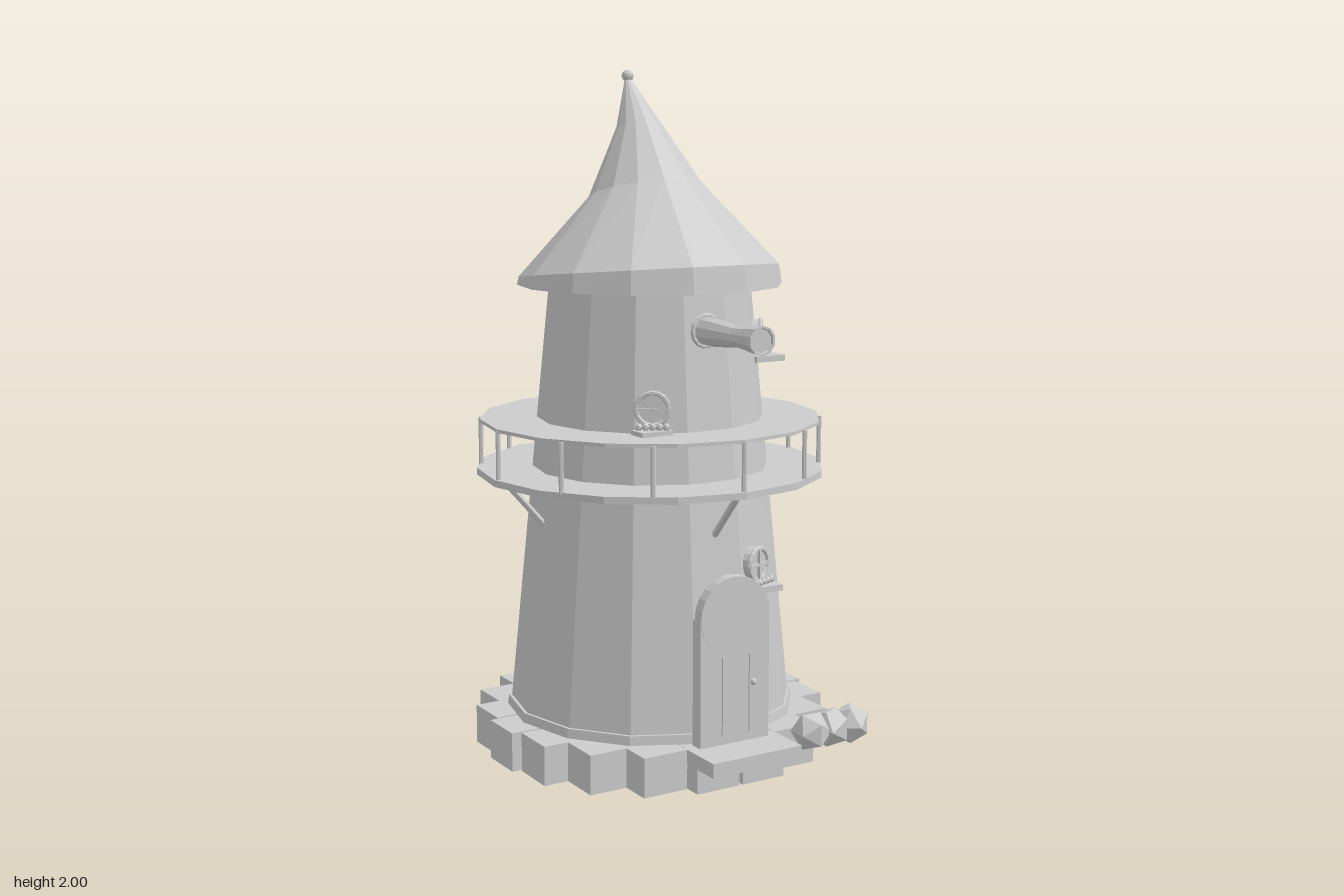
import * as THREE from 'three';

const AXIS_Z = -0.035; // tower axis, offset so the whole model is centred

export function createModel() {
  const root = new THREE.Group();
  root.name = 'tower';
  const mat = new THREE.MeshStandardMaterial({ color: 0xcccccc, flatShading: true });

  const add = (name, geo, x = 0, y = 0, z = 0, parent = root) => {
    const m = new THREE.Mesh(geo, mat);
    m.name = name;
    m.position.set(x, y, z);
    parent.add(m);
    return m;
  };
  const box = (name, w, h, d, x, y, z, parent) =>
    add(name, new THREE.BoxGeometry(w, h, d), x, y, z, parent);
  // vertical cylinder on the tower axis, with a corner on the x axis
  const drum = (name, rTop, rBottom, y0, y1, sides) =>
    add(name, new THREE.CylinderGeometry(rTop, rBottom, y1 - y0, sides).rotateY(Math.PI / 2), 0, (y0 + y1) / 2, AXIS_Z);
  // round bar between two points
  const bar = (name, a, b, r) => {
    const d = b.clone().sub(a);
    const m = add(name, new THREE.CylinderGeometry(r, r, d.length(), 6));
    m.position.copy(a).add(b).multiplyScalar(0.5);
    m.quaternion.setFromUnitVectors(new THREE.Vector3(0, 1, 0), d.normalize());
  };
  // point around the axis; angle 0 is the front
  const around = (a, r, y) => new THREE.Vector3(Math.sin(a) * r, y, AXIS_Z + Math.cos(a) * r);

  // Foundation: square stones set in a ring
  for (let i = 0; i < 18; i++) {
    const p = around(Math.PI / 2 + (i / 18) * Math.PI * 2, 0.435, 0.0575);
    box('foundationStone', 0.14, 0.115, 0.14, p.x, p.y, p.z);
  }

  // Tower body and skirting
  drum('towerWall', 0.297, 0.422, 0.112, 1.385, 14);
  drum('skirting', 0.428, 0.432, 0.112, 0.142, 14);

  // Balcony
  drum('balconyFloor', 0.515, 0.515, 0.825, 0.845, 16);
  drum('balconyRail', 0.505, 0.505, 0.98, 0.99, 16);
  for (let i = 0; i < 12; i++) {
    const a = (i / 12) * Math.PI * 2;
    bar('balconyPost', around(a, 0.502, 0.84), around(a, 0.502, 0.985), 0.007);
  }
  for (let i = 0; i < 4; i++) {
    const a = (i / 4) * Math.PI * 2;
    bar('balconyBrace', around(a, 0.355, 0.695), around(a, 0.475, 0.83), 0.01);
  }

  // Roof: a leaning cone lofted from tilted rings [y, radius, centre z, tilt]
  add('roof', loft([
    [1.38, 0.39, AXIS_Z, 0],
    [1.42, 0.383, -0.038, 0.037],
    [1.65, 0.168, -0.058, 0.04],
    [1.84, 0.065, -0.1, 0.015],
    [1.975, 0.008, -0.163, 0],
  ], 14));
  add('finial', new THREE.IcosahedronGeometry(0.018, 1), 0, 1.982, -0.163);

  // Door and step
  box('doorStep', 0.296, 0.042, 0.15, 0, 0.094, 0.472);
  box('doorPanel', 0.23, 0.365, 0.04, 0, 0.297, 0.408);
  add('doorArch', new THREE.CylinderGeometry(0.115, 0.115, 0.034, 24).rotateX(Math.PI / 2), 0, 0.483, 0.413);
  for (const x of [-0.04, 0.05]) box('doorGroove', 0.007, 0.23, 0.008, x, 0.255, 0.429);
  add('doorKnob', new THREE.SphereGeometry(0.01, 8, 6), 0.06, 0.285, 0.432);

  // Round windows with sills: [angle in degrees, radius, y, flowers]
  const windows = [[-30, 0.332, 1.06, true], [55, 0.318, 1.23, false], [21.7, 0.385, 0.593, true]];
  for (const [deg, r, y, flowers] of windows) {
    const a = THREE.MathUtils.degToRad(deg);
    const w = new THREE.Group();
    w.name = 'window';
    w.position.copy(around(a, r, y));
    w.rotation.y = a;
    root.add(w);
    add('windowPane', new THREE.CylinderGeometry(0.048, 0.048, 0.04, 16).rotateX(Math.PI / 2), 0, 0, -0.014, w);
    add('windowRim', new THREE.TorusGeometry(0.046, 0.007, 6, 16), 0, 0, 0.006, w);
    box('windowBar', 0.09, 0.008, 0.012, 0, 0, 0.008, w);
    box('windowBar', 0.008, 0.09, 0.012, 0, 0, 0.008, w);
    const p = around(a, r + 0.02, y - 0.066);
    box('windowSill', 0.1, 0.018, 0.064, p.x, p.y, p.z);
    for (let i = -2; flowers && i <= 2; i++)
      add('flower', new THREE.IcosahedronGeometry(0.012, 0), i * 0.019, -0.047, 0.025, w);
  }

  // Telescope looking out of the front
  const tube = [[0, 0], [0.04, 0], [0.04, 0.12], [0.03, 0.22], [0.032, 0.26], [0.042, 0.345], [0.035, 0.345], [0.033, 0.338], [0, 0.338]]
    .map(([r, h]) => new THREE.Vector2(r, h));
  add('telescope', new THREE.LatheGeometry(tube, 10).rotateX(Math.PI / 2), 0, 1.27, 0.205);
  add('telescopeCollar', new THREE.TorusGeometry(0.043, 0.008, 6, 14), 0, 1.27, 0.268);

  // Bushes beside the step
  [0.24, 0.31, 0.378].forEach((x, i) => {
    add('bush', new THREE.IcosahedronGeometry(0.06, 0), x, 0.117, 0.465).rotation.y = i * 0.5;
  });

  return root;
}

// Closed flat-shaded loft through tilted rings, with a bottom and top cap
function loft(rings, n) {
  const pos = [];
  const pt = ([y, r, cz, tilt], i) => {
    const a = Math.PI / 2 + (i / n) * Math.PI * 2;
    return [Math.sin(a) * r, y + Math.cos(a) * tilt, cz + Math.cos(a) * r];
  };
  const tri = (a, b, c) => pos.push(...a, ...b, ...c);
  const bottom = rings[0], top = rings[rings.length - 1];
  for (let i = 0; i < n; i++) {
    for (let k = 0; k < rings.length - 1; k++) {
      const a = pt(rings[k], i), b = pt(rings[k], i + 1);
      const c = pt(rings[k + 1], i + 1), d = pt(rings[k + 1], i);
      tri(a, b, c);
      tri(a, c, d);
    }
    tri([0, bottom[0], bottom[2]], pt(bottom, i + 1), pt(bottom, i));
    tri([0, top[0], top[2]], pt(top, i), pt(top, i + 1));
  }
  const g = new THREE.BufferGeometry();
  g.setAttribute('position', new THREE.Float32BufferAttribute(pos, 3));
  g.computeVertexNormals();
  return g;
}
